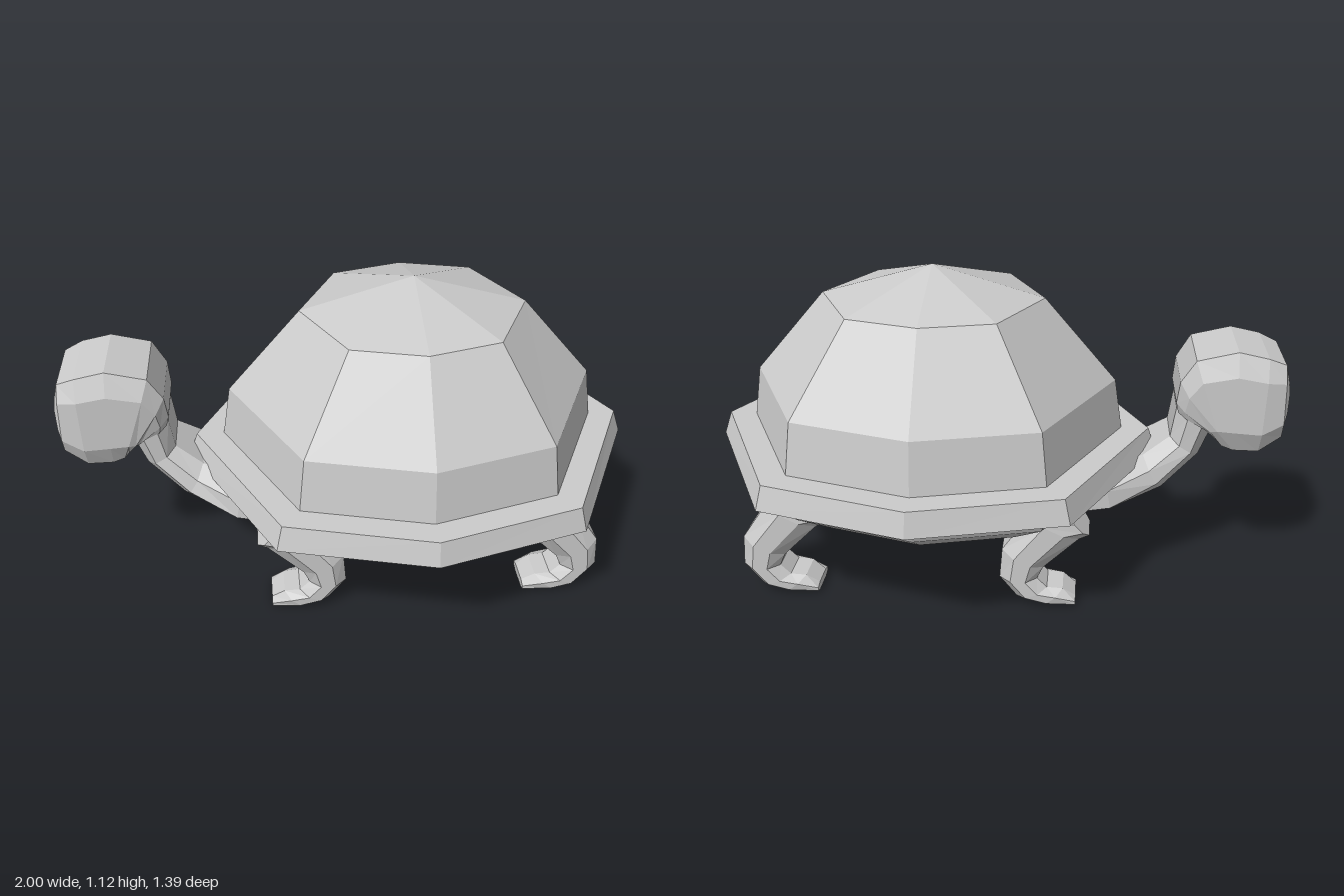
import * as THREE from 'three';

const material = new THREE.MeshStandardMaterial({ color: 0xcccccc, flatShading: true });

// Skins a series of closed rings (counter-clockwise about the path) and caps both ends
function loft(name, rings) {
  const pos = [];
  const tri = (...pts) => pts.forEach((p) => pos.push(...p));
  const n = rings[0].length;
  for (let i = 0; i < rings.length - 1; i++) {
    for (let j = 0; j < n; j++) {
      const k = (j + 1) % n;
      const a = rings[i][j], b = rings[i][k], c = rings[i + 1][k], d = rings[i + 1][j];
      tri(a, b, c);
      tri(a, c, d);
    }
  }
  const first = rings[0], last = rings[rings.length - 1];
  for (let j = 1; j < n - 1; j++) {
    tri(first[0], first[j + 1], first[j]);
    tri(last[0], last[j], last[j + 1]);
  }
  const geo = new THREE.BufferGeometry();
  geo.setAttribute('position', new THREE.Float32BufferAttribute(pos, 3));
  geo.computeVertexNormals();
  const mesh = new THREE.Mesh(geo, material);
  mesh.name = name;
  return mesh;
}

// Horizontal eight-sided shell ring: x radius, z radius, height
const shellX = 0.21;
const corners = [[0, 1], [0.635, 0.813], [1, 0], [0.635, -0.813], [0, -1], [-0.635, -0.813], [-1, 0], [-0.635, 0.813]];
const shellRing = ([rx, rz, y]) => corners.map(([cx, cz]) => [shellX + cx * rx, y, cz * rz]);

// Chamfered limb section between two profile points, with half width w
function limbRing([x0, y0, x1, y1, w], flat, bevel) {
  const outline = [[0, -flat], [0, flat], [bevel, 1], [1 - bevel, 1], [1, flat], [1, -flat], [1 - bevel, -1], [bevel, -1]];
  return outline.map(([t, s]) => [x0 + (x1 - x0) * t, y0 + (y1 - y0) * t, s * w]);
}

export function createModel() {
  const model = new THREE.Group();
  model.name = 'turtle';

  // Shell: belly, projecting rim and faceted dome
  const parts = {
    belly: [[0.49, 0.43, 0.275], [0.64, 0.56, 0.365], [0.69, 0.6, 0.46]],
    shellRim: [[0.79, 0.695, 0.455], [0.76, 0.675, 0.54]],
    shellDome: [[0.665, 0.585, 0.535], [0.635, 0.56, 0.72], [0.385, 0.345, 1.01], [0, 0, 1.12]],
  };
  for (const [name, rings] of Object.entries(parts)) model.add(loft(name, rings.map(shellRing)));

  // Neck, flaring into the body
  const neck = [
    [-0.2, 0.29, -0.2, 0.44, 0.3],
    [-0.43, 0.3, -0.4, 0.46, 0.25],
    [-0.6, 0.365, -0.53, 0.485, 0.16],
    [-0.72, 0.49, -0.62, 0.55, 0.125],
    [-0.76, 0.6, -0.635, 0.66, 0.13],
  ];
  model.add(loft('neck', neck.map((s) => limbRing(s, 0.65, 0.3))));

  // Head, its sections fanning round from the neck to the blunt face
  const head = [
    [-0.75, 0.595, -0.64, 0.65, 0.13],
    [-0.76, 0.58, -0.63, 0.69, 0.14],
    [-0.775, 0.56, -0.638, 0.77, 0.155],
    [-0.79, 0.545, -0.685, 0.85, 0.165],
    [-0.83, 0.53, -0.82, 0.885, 0.165],
    [-0.915, 0.53, -0.92, 0.865, 0.165],
    [-0.99, 0.58, -0.98, 0.84, 0.145],
    [-1.0, 0.64, -1.0, 0.77, 0.12],
  ];
  model.add(loft('head', head.map((s) => limbRing(s, 0.8, 0.22))));

  // Four identical bent legs, from toe to hip
  const leg = [
    [-0.315, 0.03, -0.315, 0, 0.07],
    [-0.27, 0.062, -0.19, 0, 0.088],
    [-0.215, 0.065, -0.11, 0.025, 0.09],
    [-0.18, 0.1, -0.05, 0.1, 0.09],
    [-0.2, 0.145, -0.058, 0.21, 0.09],
    [-0.32, 0.265, -0.15, 0.345, 0.09],
    [-0.355, 0.28, -0.28, 0.362, 0.085],
  ];
  for (const [end, x] of [['front', 0], ['hind', 0.91]]) {
    for (const [side, z] of [['Right', -0.27], ['Left', 0.27]]) {
      const mesh = loft(`${end}${side}Leg`, leg.map((s) => limbRing(s, 0.6, 0.3)));
      mesh.position.set(x, 0, z);
      model.add(mesh);
    }
  }
  return model;
}
